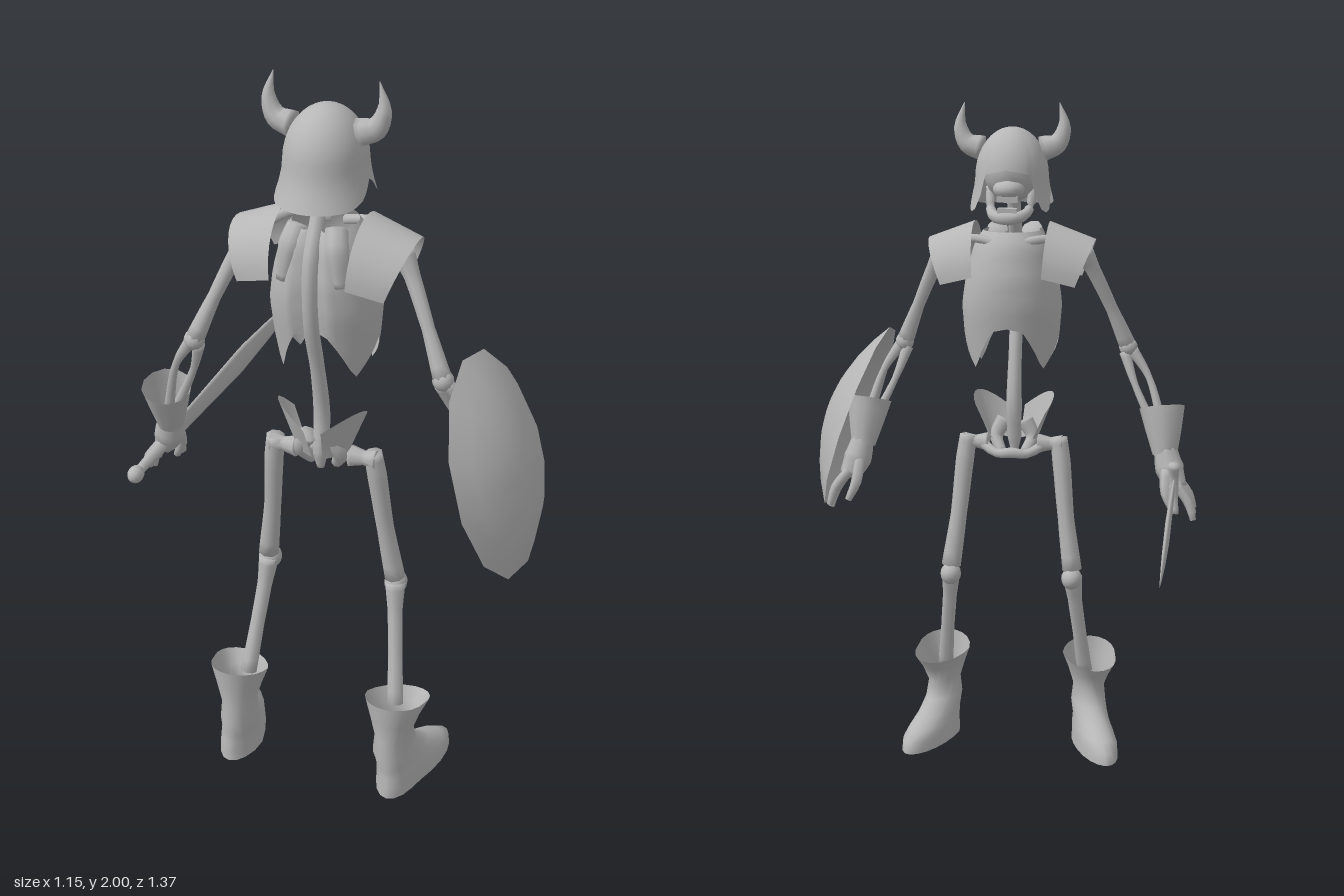
import * as THREE from 'three';

const bone = new THREE.MeshStandardMaterial({ color: 0xb6b6b6, side: THREE.DoubleSide });
bone.name = 'plain grey';
const V = (x, y, z) => new THREE.Vector3(x, y, z);
const lerp = THREE.MathUtils.lerp;

// Linear lookup: keys is [[k, value], ...] with rising k
function lookup(keys, k) {
  if (k <= keys[0][0]) return keys[0][1];
  for (let i = 1; i < keys.length; i++) {
    const [a, p] = keys[i - 1], [b, q] = keys[i];
    if (k <= b) return lerp(p, q, (k - a) / (b - a));
  }
  return keys[keys.length - 1][1];
}

function add(parent, name, geometry) {
  const mesh = new THREE.Mesh(geometry, bone);
  mesh.name = name;
  parent.add(mesh);
  return mesh;
}

// Smooth grid surface: f(column, row) gives a point; closed joins the columns into a ring
function grid(cols, rows, closed, f) {
  const pos = [], idx = [], n = closed ? cols : cols + 1;
  for (let r = 0; r <= rows; r++)
    for (let c = 0; c < n; c++) pos.push(...f(c, r).toArray());
  for (let r = 0; r < rows; r++)
    for (let c = 0; c < cols; c++) {
      const d = (c + 1) % n, a = r * n + c, b = r * n + d;
      idx.push(a, a + n, b, b, a + n, b + n);
    }
  const g = new THREE.BufferGeometry();
  g.setAttribute('position', new THREE.Float32BufferAttribute(pos, 3));
  g.setIndex(idx);
  g.computeVertexNormals();
  return g;
}

// Tapered tube through points [x, y, z, radius]
function limb(parent, name, pts, { sides = 8, steps = 12, open = false, ref } = {}) {
  const curve = new THREE.CatmullRomCurve3(pts.map(p => V(p[0], p[1], p[2])));
  const radii = pts.map((p, i) => [i / (pts.length - 1), p[3]]);
  const dir = curve.points[pts.length - 1].clone().sub(curve.points[0]).normalize();
  const axis = ref || (Math.abs(dir.z) > 0.7 ? V(0, 1, 0) : V(0, 0, 1));
  const extra = open ? 0 : 1;
  return add(parent, name, grid(sides, steps + 2 * extra, true, (c, r) => {
    const t = THREE.MathUtils.clamp((r - extra) / steps, 0, 1);
    const capped = !open && (r === 0 || r === steps + 2);
    const T = curve.getTangent(t);
    const A = V().crossVectors(T, axis).normalize(), B = V().crossVectors(T, A);
    const a = c / sides * Math.PI * 2, R = capped ? 0 : lookup(radii, t);
    return curve.getPoint(t).addScaledVector(A, R * Math.cos(a)).addScaledVector(B, R * Math.sin(a));
  }));
}

function ball(parent, name, x, y, z, rx, ry = rx, rz = rx) {
  const m = add(parent, name, new THREE.SphereGeometry(1, 14, 10));
  m.position.set(x, y, z);
  m.scale.set(rx, ry, rz);
  return m;
}

function box(parent, name, w, h, d, x, y, z) {
  const m = add(parent, name, new THREE.BoxGeometry(w, h, d));
  m.position.set(x, y, z);
  return m;
}

// Degrees away from the back of the body, 0 to 180
const fromBack = (c, n) => { const d = c / n * 360; return d > 180 ? 360 - d : d; };

function buildHead(g) {
  // Helmet with flared neck guard, cheek flaps and open face
  const rim = [[0, 1.7], [50, 1.7], [70, 1.715], [92, 1.755], [112, 1.7], [125, 1.69], [135, 1.74], [142, 1.8], [180, 1.815]];
  add(g, 'helmet', grid(48, 12, true, (c, r) => {
    const a = c / 48 * Math.PI * 2, low = lookup(rim, fromBack(c, 48));
    const y = low + (1.93 - low) * Math.cos(r / 12 * Math.PI / 2);
    const k = y > 1.79 ? Math.sqrt(Math.max(0, 1 - ((y - 1.79) / 0.14) ** 2))
      : 1 + (0.19 + 0.07 * Math.cos(a)) * ((1.79 - y) / 0.09) ** 1.5;
    return V(Math.sin(a) * 0.106 * k, y, 0.325 + Math.cos(a) * 0.125 * k);
  }));
  // Skull, upper teeth and jaw
  ball(g, 'skull', 0, 1.81, 0.325, 0.085, 0.095, 0.108);
  ball(g, 'upperJaw', 0, 1.758, 0.25, 0.046, 0.03, 0.05);
  box(g, 'upperTeeth', 0.06, 0.016, 0.03, 0, 1.732, 0.222);
  box(g, 'lowerTeeth', 0.055, 0.014, 0.03, 0, 1.7, 0.224);
  limb(g, 'jaw', [[-0.062, 1.76, 0.31, 0.012], [-0.056, 1.7, 0.28, 0.014], [-0.03, 1.68, 0.22, 0.017], [0, 1.678, 0.212, 0.018],
    [0.03, 1.68, 0.22, 0.017], [0.056, 1.7, 0.28, 0.014], [0.062, 1.76, 0.31, 0.012]], { ref: V(0.01, 0.8, 0.6), steps: 18 });
}

function buildTrunk(g) {
  // Cuirass with two low points at front and back
  const rim = [[0, 1.36], [18, 1.36], [52, 1.23], [72, 1.28], [90, 1.33], [108, 1.28], [128, 1.23], [162, 1.35], [180, 1.36]];
  const rx = [[1.22, 0.122], [1.33, 0.141], [1.42, 0.148], [1.5, 0.136], [1.6, 0.11], [1.635, 0.085]];
  const rz = [[1.22, 0.1], [1.33, 0.118], [1.42, 0.135], [1.5, 0.138], [1.6, 0.118], [1.635, 0.09]];
  add(g, 'cuirass', grid(40, 12, true, (c, r) => {
    const a = c / 40 * Math.PI * 2, d = fromBack(c, 40);
    const y = lerp(1.635, lookup(rim, d), r / 12);
    const groove = d < 12 ? 0.84 : 1;
    return V(Math.sin(a) * lookup(rx, y), y, 0.335 + Math.cos(a) * lookup(rz, y) * groove);
  }));
  limb(g, 'spine', [[0, 1.76, 0.345, 0.02], [0, 1.66, 0.39, 0.02], [0, 1.56, 0.445, 0.021], [0, 1.4, 0.45, 0.021],
    [0, 1.25, 0.41, 0.02], [0, 1.1, 0.385, 0.024], [0, 1.0, 0.4, 0.022], [0, 0.95, 0.4, 0.01]], { steps: 28 });
  limb(g, 'pubicArch', [[-0.1, 0.985, 0.375, 0.016], [-0.045, 0.96, 0.335, 0.014], [0, 0.965, 0.325, 0.016],
    [0.045, 0.96, 0.335, 0.014], [0.1, 0.985, 0.375, 0.016]], { ref: V(0, 1, 0) });
}

// Everything that exists once per side, built on +x
function buildSide(g) {
  limb(g, 'horn', [[0.088, 1.868, 0.325, 0.036], [0.13, 1.883, 0.325, 0.029], [0.15, 1.93, 0.323, 0.019], [0.137, 1.998, 0.32, 0.001]]);
  limb(g, 'collarbone', [[0.02, 1.6, 0.245, 0.014], [0.11, 1.615, 0.27, 0.012], [0.21, 1.575, 0.345, 0.018]]);
  limb(g, 'shoulderBlade', [[0.05, 1.635, 0.39, 0.03], [0.06, 1.59, 0.42, 0.034], [0.075, 1.5, 0.435, 0.022]]);
  // Shoulder guard arching from front to back
  add(g, 'shoulderGuard', grid(16, 4, false, (c, r) => {
    const a = (c / 8 - 1) * Math.PI / 2, w = 1 - Math.cos(a), v = r / 4;
    return V(lerp(lerp(0.11, 0.245, v), lerp(0.1, 0.195, v), w),
      lerp(lerp(1.66, 1.61, v), lerp(1.51, 1.485, v), w),
      0.335 + Math.sin(a) * lerp(0.14, 0.122, v));
  }));
  // Arm bones
  limb(g, 'upperArm', [[0.205, 1.575, 0.34, 0.032], [0.235, 1.52, 0.355, 0.022], [0.29, 1.4, 0.39, 0.018], [0.338, 1.285, 0.42, 0.026]]);
  ball(g, 'elbow', 0.34, 1.28, 0.42, 0.028);
  limb(g, 'outerForearm', [[0.35, 1.275, 0.42, 0.018], [0.405, 1.19, 0.405, 0.01], [0.455, 1.03, 0.365, 0.015]]);
  limb(g, 'innerForearm', [[0.33, 1.265, 0.415, 0.017], [0.365, 1.17, 0.385, 0.01], [0.435, 1.03, 0.355, 0.014]]);
  // Gauntlet cuff, palm and fingers
  limb(g, 'cuff', [[0.446, 1.105, 0.39, 0.068], [0.453, 1.04, 0.37, 0.054], [0.46, 0.97, 0.35, 0.037]], { sides: 12, steps: 4, open: true });
  limb(g, 'palm', [[0.46, 0.99, 0.35, 0.034], [0.475, 0.93, 0.335, 0.043], [0.5, 0.875, 0.315, 0.03]]);
  for (let i = 0; i < 4; i++) {
    const z = 0.275 + i * 0.027, tip = 0.785 + Math.abs(i - 1) * 0.012;
    limb(g, 'finger', [[0.492, 0.9, z + 0.005, 0.016], [0.532, 0.85, z, 0.015], [0.55, tip, z - 0.01, 0.009]], { sides: 6, steps: 6 });
  }
  limb(g, 'thumb', [[0.465, 0.93, 0.31, 0.018], [0.468, 0.87, 0.275, 0.016], [0.492, 0.815, 0.265, 0.01]], { sides: 6, steps: 6 });
  // Hip wing: a flaring shell with a curved crest
  add(g, 'hipWing', grid(10, 5, false, (c, r) => {
    const t = c / 10, a = lerp(0.2, 2.2, t), v = r / 5;
    const y = lerp(0.985 + 0.02 * Math.sin(a), 1.06 + 0.08 * Math.sin(Math.PI * (0.1 + 0.8 * t)), v);
    return V(Math.sin(a) * lerp(0.075, 0.122, v), y, 0.38 + Math.cos(a) * lerp(0.045, 0.08, v));
  }));
  limb(g, 'sitBone', [[0.03, 1.05, 0.41, 0.026], [0.055, 1.0, 0.4, 0.02], [0.035, 0.955, 0.37, 0.016]]);
  // Leg bones
  limb(g, 'hipJoint', [[0.075, 0.985, 0.375, 0.03], [0.115, 0.985, 0.375, 0.02], [0.15, 0.985, 0.375, 0.028]], { ref: V(0, 0, 1) });
  limb(g, 'thighBone', [[0.138, 1.005, 0.375, 0.026], [0.148, 0.93, 0.368, 0.028], [0.165, 0.76, 0.35, 0.025], [0.187, 0.6, 0.335, 0.03]]);
  ball(g, 'kneeCap', 0.187, 0.575, 0.325, 0.032, 0.034, 0.036);
  limb(g, 'shinBone', [[0.188, 0.58, 0.335, 0.03], [0.195, 0.5, 0.355, 0.022], [0.208, 0.38, 0.388, 0.021], [0.222, 0.24, 0.43, 0.024]]);
  // Boot rings: [height, front z, back z, half width, slope, sideways shift]
  const rings = [[0.285, 0.365, 0.55, 0.083, 0.27, 0], [0.235, 0.39, 0.545, 0.065, 0.12, 0], [0.18, 0.41, 0.54, 0.049, 0, 0],
    [0.125, 0.395, 0.548, 0.055, 0, 0], [0.085, 0.335, 0.545, 0.055, 0, 0.004], [0.06, 0.28, 0.547, 0.06, 0, 0.006],
    [0.035, 0.243, 0.552, 0.064, 0, 0.008], [0, 0.24, 0.554, 0.066, 0, 0.008]];
  const bootPoint = (c, r) => {
    const [h, front, back, w, slope, shift] = rings[r], a = c / 20 * Math.PI * 2;
    const mid = (front + back) / 2, z = mid + Math.cos(a) * (back - front) / 2;
    const turn = Math.max(0, 0.46 - z) * 0.3;
    return V(0.232 + shift + turn + Math.sin(a) * w, h + (z - mid) * slope, z);
  };
  add(g, 'boot', grid(20, rings.length - 1, true, bootPoint));
  add(g, 'bootSole', grid(20, 1, true, (c, r) => r ? V(0.25, 0, 0.4) : bootPoint(c, 7)));
}

function buildSword(g) {
  // Leaf-shaped blade pointing forward
  const half = [[0, 0.03], [0.12, 0.033], [0.48, 0.045], [0.72, 0.033], [0.9, 0.015], [1, 0]];
  add(g, 'blade', grid(8, 24, true, (c, r) => {
    const t = r / 24, a = c / 8 * Math.PI * 2, h = lookup(half, t);
    return V(Math.cos(a) * h * 0.18, Math.sin(a) * h, lerp(0.25, -0.68, t));
  }));
  limb(g, 'guard', [[0, -0.075, 0.24, 0.017], [0, -0.03, 0.255, 0.014], [0, 0.03, 0.255, 0.014], [0, 0.075, 0.24, 0.017]], { ref: V(1, 0, 0) });
  limb(g, 'grip', [[0, 0, 0.25, 0.015], [0, 0, 0.38, 0.018], [0, 0, 0.5, 0.013]]);
  ball(g, 'pommel', 0, 0, 0.515, 0.022, 0.024, 0.027);
}

export function createModel() {
  const model = new THREE.Group();
  model.name = 'skeletonWarrior';
  const body = new THREE.Group();
  body.name = 'body';
  body.position.x = -0.012;
  model.add(body);
  buildHead(body);
  buildTrunk(body);
  for (const s of [1, -1]) {
    const side = new THREE.Group();
    side.name = s > 0 ? 'leftSide' : 'rightSide';
    side.scale.x = s;
    body.add(side);
    buildSide(side);
  }
  const sword = new THREE.Group();
  sword.name = 'sword';
  sword.position.set(-0.503, 0.892, 0);
  model.add(sword);
  buildSword(sword);
  // Twelve-sided domed shield leaning on the left forearm
  const shield = add(model, 'shield', grid(12, 5, true, (c, r) => {
    const a = c / 12 * Math.PI * 2, k = r / 5;
    return V(0.1 * (1 - k * k), Math.cos(a) * 0.294 * k, Math.sin(a) * 0.3 * k);
  }));
  shield.position.set(0.464, 1.05, 0.39);
  shield.rotation.z = 0.333;
  return model;
}
